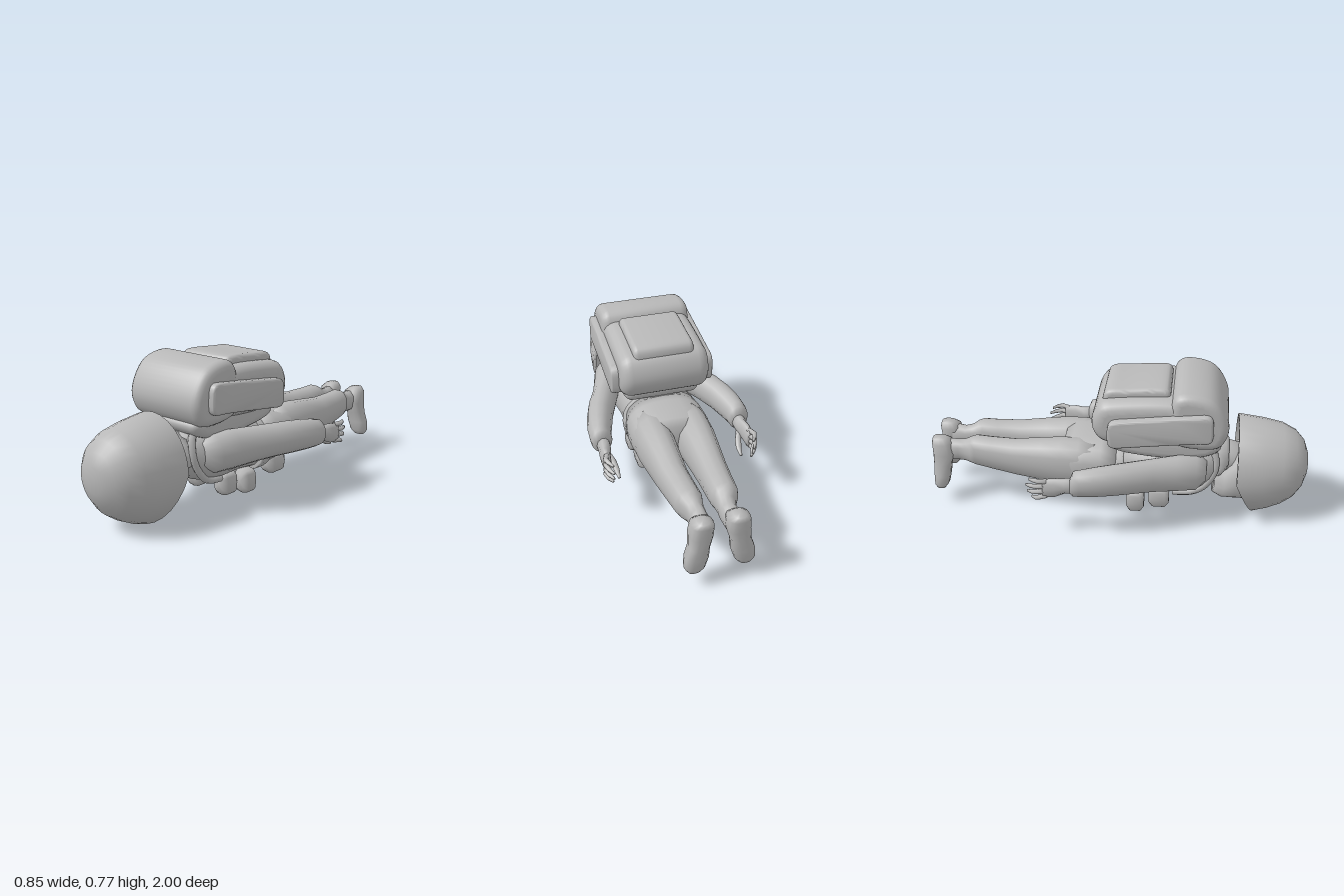
import * as THREE from 'three';
import { toCreasedNormals } from 'three/addons/utils/BufferGeometryUtils.js';

const cloth = new THREE.MeshStandardMaterial({ color: 0xb8b8b8, side: THREE.DoubleSide });
cloth.name = 'plain grey';

// Loft through rings [x, y, z, rx, ry, sweep], listed from high z to low z.
// pow < 1 squares the rings off; sweep leans the lower half of a ring along z.
function loft(rings, { n = 16, pow = 1, side = 1 } = {}) {
  const pos = [], idx = [];
  const bend = v => Math.sign(v) * Math.abs(v) ** pow;
  for (const [x, y, z, rx, ry, sweep = 0] of rings) {
    for (let j = 0; j < n; j++) {
      const a = (j / n) * Math.PI * 2;
      const dy = ry * bend(Math.sin(a));
      pos.push(x * side + rx * bend(Math.cos(a)), y + dy, z + sweep * Math.min(dy, 0));
    }
  }
  for (let i = 0; i < rings.length - 1; i++) {
    for (let j = 0; j < n; j++) {
      const a = i * n + j, b = i * n + (j + 1) % n;
      idx.push(a, a + n, b, b, a + n, b + n);
    }
  }
  const last = rings.length - 1, c = rings.length * n;
  for (const r of [rings[0], rings[last]]) pos.push(r[0] * side, r[1], r[2]);
  for (let j = 0; j < n; j++) {
    const k = (j + 1) % n;
    idx.push(c, j, k, c + 1, last * n + k, last * n + j);
  }
  const g = new THREE.BufferGeometry();
  g.setAttribute('position', new THREE.Float32BufferAttribute(pos, 3));
  g.setIndex(idx);
  g.computeVertexNormals();
  return g;
}

// Side profile of [z, y] points, rounded and extruded across x
function slab(points, halfWidth, bevel, x = 0) {
  const shape = new THREE.Shape();
  const mid = (a, b) => [(a[0] + b[0]) / 2, (a[1] + b[1]) / 2];
  const n = points.length;
  shape.moveTo(...mid(points[n - 1], points[0]));
  points.forEach((p, i) => shape.quadraticCurveTo(...p, ...mid(p, points[(i + 1) % n])));
  const depth = 2 * (halfWidth - bevel);
  const g = new THREE.ExtrudeGeometry(shape, {
    depth, curveSegments: 5, bevelThickness: bevel, bevelSize: bevel, bevelOffset: -bevel, bevelSegments: 4,
  });
  return toCreasedNormals(g.translate(0, 0, -depth / 2).rotateY(-Math.PI / 2).translate(x, 0, 0), 0.8);
}

export function createModel() {
  const model = new THREE.Group();
  model.name = 'lyingSoldier';
  const add = (name, geometry, parent = model) => {
    const m = new THREE.Mesh(geometry, cloth);
    m.name = name;
    parent.add(m);
  };

  // Helmet: outer dome, rim swept forward at the brow, then the hollow inside
  add('helmet', loft([
    [0, .29, .998, .06, .065], [0, .288, .975, .12, .13], [0, .283, .93, .172, .184],
    [0, .28, .86, .207, .222, -.05], [0, .275, .76, .226, .248, -.2],
    [0, .272, .628, .24, .267, -.43], [0, .272, .626, .218, .245, -.43], [0, .28, .78, .19, .2, -.1],
  ], { n: 28 }));

  // Head with jaw, and neck
  add('head', loft([
    [0, .28, .86, .1, .1], [0, .27, .79, .165, .175], [0, .26, .7, .165, .18],
    [0, .225, .63, .155, .145, .05], [0, .18, .57, .13, .1, .2], [0, .165, .52, .085, .07, .2],
  ], { n: 18, pow: .85 }));
  add('neck', loft([[0, .28, .68, .1, .09], [0, .31, .59, .09, .085], [0, .32, .48, .13, .1]]));

  // Jacket, collar, belt and seat
  add('jacket', loft([
    [0, .315, .56, .11, .1, .3], [0, .31, .5, .18, .13, .3], [0, .3, .42, .22, .15],
    [0, .29, .3, .215, .16], [0, .28, .16, .195, .15], [0, .272, .05, .19, .155],
    [0, .27, -.03, .2, .16],
  ], { n: 22, pow: .85 }));
  add('collar', loft([
    [0, .315, .585, .1, .09, .3], [0, .315, .57, .13, .11, .35], [0, .315, .52, .165, .12, .4],
  ]));
  add('belt', loft([
    [0, .26, .04, .2, .16], [0, .26, .035, .207, .165], [0, .26, -.025, .207, .165], [0, .26, -.03, .2, .16],
  ], { n: 22, pow: .85 }));
  add('seat', loft([
    [0, .27, 0, .2, .155], [0, .277, -.08, .21, .154], [0, .283, -.17, .212, .148],
    [0, .285, -.24, .205, .138], [0, .285, -.285, .185, .115],
  ], { n: 24, pow: .78 }));

  for (const side of [1, -1]) {
    const word = side > 0 ? 'left' : 'right';
    const opt = { n: 14, side };

    // Leg: thigh, knee, trouser hem and narrow ankle
    add(word + 'Leg', loft([
      [.108, .282, -.1, .09, .13], [.107, .284, -.2, .1, .14], [.106, .288, -.3, .098, .135],
      [.104, .29, -.4, .089, .122], [.1, .292, -.55, .077, .102], [.092, .304, -.68, .072, .09],
      [.088, .314, -.76, .069, .084], [.087, .313, -.785, .062, .076], [.078, .304, -.82, .047, .064],
      [.073, .3, -.86, .043, .06], [.08, .305, -.93, .05, .06],
    ], { n: 14, pow: .92, side }));

    // Boot runs down from heel to toe
    add(word + 'Boot', loft([
      [.087, .96, .38, .03, .036], [.087, .948, .355, .055, .054], [.09, .94, .29, .057, .06],
      [.1, .952, .23, .05, .048], [.112, .956, .17, .058, .044], [.122, .962, .115, .05, .038],
      [.125, .966, .09, .03, .024],
    ], { n: 14, pow: .75, side }).rotateX(-Math.PI / 2));

    // Sleeve ending in a cuff
    add(word + 'Sleeve', loft([
      [.16, .32, .47, .06, .06], [.19, .32, .42, .085, .1], [.222, .325, .32, .078, .1],
      [.262, .33, .2, .074, .092], [.302, .335, .1, .076, .087], [.336, .336, 0, .071, .085],
      [.358, .333, -.09, .066, .081], [.37, .328, -.16, .057, .075], [.37, .324, -.195, .054, .07],
      [.37, .312, -.21, .034, .045],
    ], opt));

    // Hand: flat palm, curved fingers and thumb
    const hand = new THREE.Group();
    hand.name = word + 'Hand';
    model.add(hand);
    add('palm', loft([
      [.366, .31, -.18, .036, .046], [.368, .305, -.24, .033, .042], [.376, .297, -.29, .028, .054],
      [.378, .29, -.35, .02, .054],
    ], { n: 10, side }), hand);
    for (let i = 0; i < 4; i++) {
      const y = .334 - i * .029, len = [.085, .1, .095, .075][i];
      add('finger', loft([
        [.378, y, -.33, .015, .014], [.392, y + .004 - i * .002, -.33 - len * .45, .014, .013],
        [.382, y + .004 - i * .006, -.33 - len * .8, .012, .011], [.366, y - i * .006, -.33 - len * 1.1, .007, .007],
      ], { n: 7, side }), hand);
    }
    add('thumb', loft([
      [.362, .28, -.24, .02, .02], [.338, .252, -.29, .018, .02], [.328, .228, -.33, .015, .015],
      [.326, .212, -.37, .008, .008],
    ], { n: 7, side }), hand);

    // Shoulder strap from the pack round to the chest
    const strap = new THREE.CatmullRomCurve3([
      [.13, .46, .42], [.14, .42, .5], [.155, .32, .515], [.155, .22, .47], [.145, .165, .4], [.13, .145, .3],
    ].map(([x, y, z]) => new THREE.Vector3(x * side, y, z)));
    add(word + 'Strap', new THREE.TubeGeometry(strap, 20, .02, 7));

    // Side pocket of the pack
    add(word + 'SidePocket', slab([
      [.49, .53], [.495, .6], [.485, .69], [.4, .682], [.05, .638], [-.03, .628], [-.04, .55],
      [-.03, .475], [.05, .485], [.4, .53],
    ], .045, .014, side * .23));
  }

  // Pouches on the chest and waist, and one on the left hip: x, y, z, half sizes
  for (const [x, y, z, rx, ry, rz] of [
    [.1, .095, .225, .05, .062, .055], [-.1, .095, .225, .05, .062, .055],
    [.125, .08, .1, .05, .065, .047], [-.125, .08, .1, .05, .065, .047],
    [.0, .085, .1, .045, .06, .045], [.13, .125, -.12, .048, .054, .067],
  ]) {
    add('pouch', loft([
      [x, y, z + rz, rx * .6, ry * .65], [x, y, z + rz * .6, rx, ry],
      [x, y, z - rz * .6, rx, ry], [x, y, z - rz, rx * .6, ry * .65],
    ], { n: 12, pow: .65 }));
  }

  // Backpack: main bag, bedroll across the top end, lid pocket and back pad
  add('packBody', slab([
    [.4, .49], [.4, .72], [.25, .735], [0, .715], [-.085, .7], [-.135, .585], [-.09, .485], [0, .468], [.2, .468],
  ], .236, .06));
  add('bedroll', slab([
    [.55, .5], [.58, .6], [.51, .735], [.42, .775], [.3, .778], [.265, .68], [.27, .5], [.36, .468], [.5, .465],
  ], .242, .045));
  add('lidPocket', slab([
    [.27, .68], [.275, .765], [.2, .77], [.05, .755], [-.055, .752], [-.075, .69], [-.06, .62], [.1, .62], [.25, .62],
  ], .16, .025));
  add('backPad', slab([
    [.54, .43], [.54, .51], [.3, .52], [0, .51], [-.05, .48], [-.03, .41], [.2, .38], [.4, .38],
  ], .2, .04));

  return model;
}
